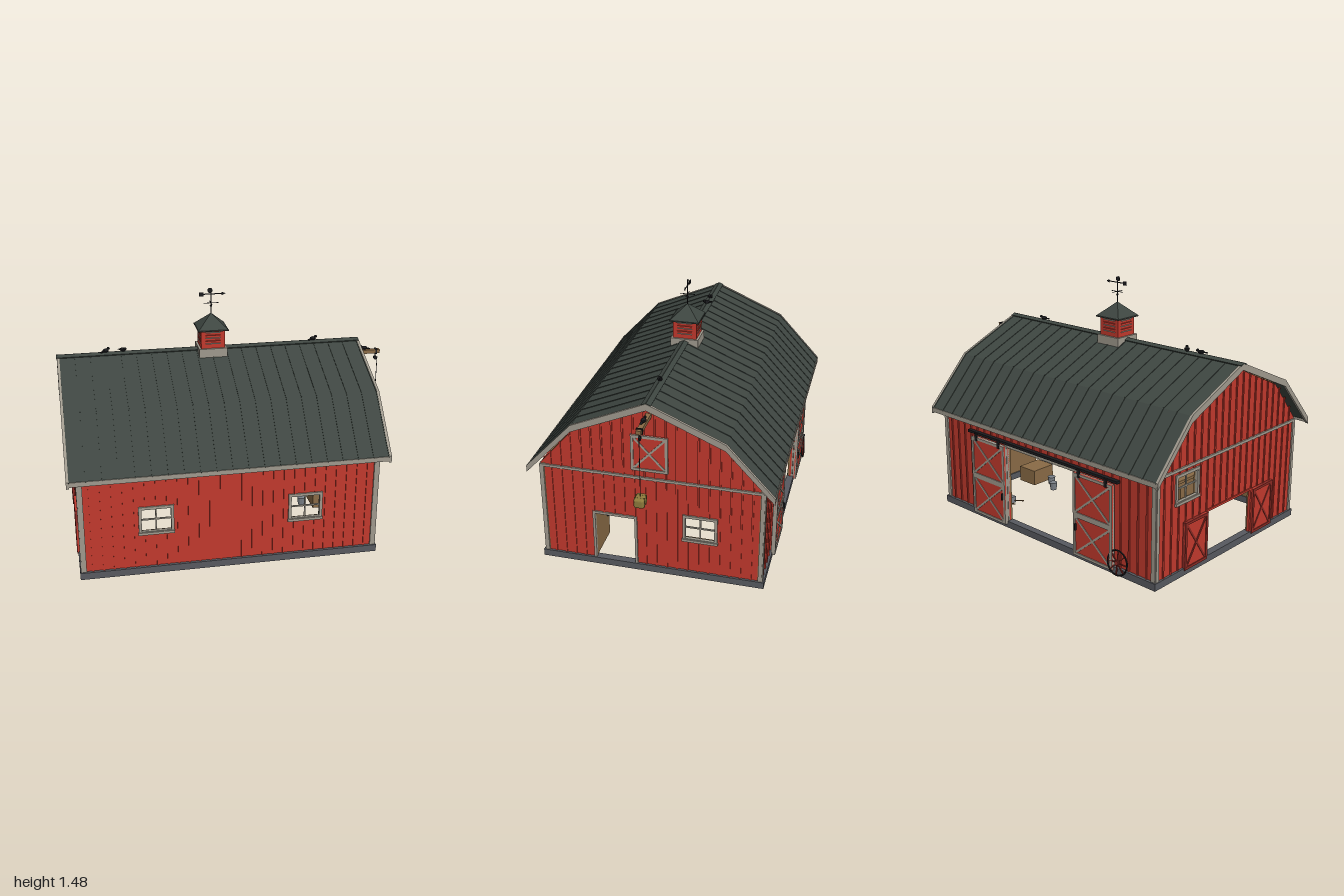
import * as THREE from 'three';
import { RoundedBoxGeometry } from 'three/addons/geometries/RoundedBoxGeometry.js';

const mat = color => new THREE.MeshStandardMaterial({ color, flatShading: true });
const red = mat(0xc2392d), darkRed = mat(0x8a2a24), trim = mat(0xa09a8e), roofMat = mat(0x3e4641);
const stone = mat(0x585a60), wood = mat(0x8a6b46), black = mat(0x1b1b1e), hay = mat(0x8d7a3c), steel = mat(0x7d838a);
const V = (x, y, z) => new THREE.Vector3(x, y, z);
const CX = -0.085, HX = 0.855, HZ = 0.64; // wall centre and half sizes

function add(parent, name, geo, material, x = 0, y = 0, z = 0) {
  const m = new THREE.Mesh(geo, material);
  m.name = name;
  m.position.set(x, y, z);
  parent.add(m);
  return m;
}
// Box given by its limits
const box = (p, name, x0, x1, y0, y1, z0, z1, material) => add(p, name,
  new THREE.BoxGeometry(x1 - x0, y1 - y0, z1 - z0), material, (x0 + x1) / 2, (y0 + y1) / 2, (z0 + z1) / 2);
// Bar from a to b: w is its level width, t its other thickness
function bar(p, name, a, b, w, t, material) {
  const m = new THREE.Mesh(new THREE.BoxGeometry(w, t, a.distanceTo(b)), material);
  m.name = name;
  m.position.copy(a).lerp(b, 0.5);
  m.lookAt(b);
  p.add(m);
}
function group(parent, name, x = 0, y = 0, z = 0) {
  const g = new THREE.Group();
  g.name = name;
  g.position.set(x, y, z);
  parent.add(g);
  return g;
}
// Rectangular frame on a wall, flush on w = 0
function frame(p, name, [u0, u1, y0, y1], s, d, material, bottom = true) {
  box(p, name, u0, u0 + s, y0, y1, -0.01, d, material);
  box(p, name, u1 - s, u1, y0, y1, -0.01, d, material);
  box(p, name, u0 + s, u1 - s, y1 - s, y1, -0.01, d, material);
  if (bottom) box(p, name, u0 + s, u1 - s, y0, y0 + s, -0.01, d, material);
}
function windowUnit(p, u, y) {
  const g = group(p, 'window', u, y);
  frame(g, 'windowFrame', [-0.1, 0.1, 0, 0.17], 0.017, 0.009, trim);
  box(g, 'windowSill', -0.103, 0.103, -0.004, 0.012, -0.01, 0.014, trim);
  box(g, 'mullion', -0.004, 0.004, 0.015, 0.155, -0.012, -0.004, trim);
  box(g, 'mullion', -0.085, 0.085, 0.081, 0.089, -0.012, -0.004, trim);
}
// Plank door with framed cross braces, in one or two panels
function braceDoor(p, name, u0, u1, y0, y1, panels, w, braceMat) {
  const g = group(p, name, 0, 0, w), s = 0.016, h = (y1 - y0) / panels;
  box(g, 'doorPanel', u0, u1, y0, y1, 0, 0.01, red);
  for (let i = 0; i < panels; i++) {
    const a = y0 + i * h, b = a + h;
    frame(g, 'doorFrame', [u0, u1, a, b], s, 0.015, braceMat);
    bar(g, 'doorBrace', V(u0 + s, a + s, 0.01), V(u1 - s, b - s, 0.01), 0.008, 0.012, braceMat);
    bar(g, 'doorBrace', V(u0 + s, b - s, 0.009), V(u1 - s, a + s, 0.009), 0.008, 0.012, braceMat);
  }
  return g;
}
// Wall in local coordinates: u across, y up, w outward
function wall(parent, name, x, z, turn, half, gable, holes) {
  const g = group(parent, name, x, 0, z);
  g.rotation.y = turn;
  const top = gable ? [[half, 0.64], [0.42, 0.895], [0, 1.085], [-0.42, 0.895], [-half, 0.64]] : [[half, 0.64], [-half, 0.64]];
  const shape = new THREE.Shape([[-half, 0.03], [half, 0.03], ...top].map(q => new THREE.Vector2(...q)));
  for (const [a, b, c, d] of holes)
    shape.holes.push(new THREE.Path([[a, c], [a, d], [b, d], [b, c]].map(q => new THREE.Vector2(...q))));
  const skin = depth => new THREE.ExtrudeGeometry(shape, { depth, bevelEnabled: false });
  add(g, 'wallSiding', skin(0.01), red, 0, 0, -0.01);
  add(g, 'wallLining', skin(0.012), wood, 0, 0, -0.022);
  // Battens, cut at the openings
  const n = Math.round(2 * half / 0.061);
  for (let i = 1; i < n; i++) {
    const u = -half + 2 * half * i / n, a = Math.abs(u);
    const end = !gable ? 0.64 : a > 0.42 ? 0.64 + (half - a) * 1.17 + 0.012 : 0.895 + (0.42 - a) * 0.452;
    let y = 0.04;
    for (const h of holes.filter(h => u > h[0] - 0.006 && u < h[1] + 0.006)) {
      if (h[2] > y + 0.01) box(g, 'batten', u - 0.005, u + 0.005, y, h[2], -0.002, 0.006, red);
      y = h[3];
    }
    box(g, 'batten', u - 0.005, u + 0.005, y, end, -0.002, 0.006, red);
  }
  const inner = half - (gable ? 0.018 : 0.024);
  for (const s of [-1, 1]) box(g, 'cornerBoard', s > 0 ? inner : -half - 0.004, s > 0 ? half + 0.004 : -inner, 0.04, 0.63, -0.005, 0.009, trim);
  if (gable) box(g, 'beltBoard', -half, half, 0.618, 0.634, -0.005, 0.01, trim);
  return g;
}
// Gambrel band: the roof line with a vertical thickness, run along x
const LINE = [[-0.705, 0.632], [-0.432, 0.925], [0, 1.112], [0.432, 0.925], [0.705, 0.632]];
function gambrel(p, name, x0, x1, up, down, material, line = LINE) {
  const pts = [...line.map(([z, y]) => [-z, y + up]), ...line.map(([z, y]) => [-z, y - down]).reverse()];
  const geo = new THREE.ExtrudeGeometry(new THREE.Shape(pts.map(q => new THREE.Vector2(...q))), { depth: x1 - x0, bevelEnabled: false });
  add(p, name, geo.rotateY(Math.PI / 2), material, x0, 0, 0);
}
function bird(p, x, y, turn) {
  const g = group(p, 'bird', x, y, 0);
  g.rotation.y = turn;
  add(g, 'birdBody', new THREE.SphereGeometry(0.013, 8, 6).scale(1.6, 0.9, 1.2), black, 0, 0.012, 0);
  add(g, 'birdHead', new THREE.SphereGeometry(0.009, 8, 6), black, 0.02, 0.021, 0);
  bar(g, 'birdTail', V(-0.012, 0.011, 0), V(-0.036, 0.007, 0), 0.014, 0.004, black);
}

export function createModel() {
  const barn = new THREE.Group();
  barn.name = 'barn';

  // Foundation ring
  for (const s of [-1, 1]) {
    box(barn, 'foundation', CX - 0.868, CX + 0.868, 0, 0.042, s * 0.635 - 0.022, s * 0.635 + 0.022, stone);
    box(barn, 'foundation', CX + s * 0.846 - 0.022, CX + s * 0.846 + 0.022, 0, 0.042, -0.613, 0.613, stone);
  }

  // Walls
  const win = (u, y) => [u - 0.086, u + 0.086, y + 0.012, y + 0.158];
  const front = wall(barn, 'frontWall', CX, HZ, 0, HX, false, [win(-0.43, 0.25), win(0.43, 0.25)]);
  for (const s of [-1, 1]) windowUnit(front, s * 0.43, 0.25);

  const back = wall(barn, 'backWall', CX, -HZ, Math.PI, HX, false, [[-0.285, 0.285, 0.04, 0.51]]);
  frame(back, 'barnDoorFrame', [-0.3, 0.3, 0.04, 0.525], 0.015, 0.008, trim, false);
  box(back, 'doorTrack', -0.61, 0.61, 0.537, 0.552, 0.005, 0.03, black);
  for (const s of [-1, 1]) {
    const c = s * 0.43;
    const d = braceDoor(back, 'slidingDoor', c - 0.145, c + 0.145, 0.025, 0.52, 2, 0.02, trim);
    box(d, 'doorHandle', s * 0.305 - 0.004, s * 0.305 + 0.004, 0.18, 0.22, 0.012, 0.024, black);
    for (const k of [-0.1, 0.1]) box(d, 'doorHanger', c + k - 0.008, c + k + 0.008, 0.5, 0.55, 0.008, 0.018, black);
  }

  const right = wall(barn, 'rightGable', CX + HX, 0, Math.PI / 2, HZ, true, [[-0.33, -0.092, 0.04, 0.35], win(0.285, 0.25)]);
  frame(right, 'doorFrame', [-0.343, -0.08, 0.04, 0.362], 0.015, 0.009, trim, false);
  windowUnit(right, 0.285, 0.25);
  braceDoor(right, 'hayDoor', -0.105, 0.105, 0.675, 0.898, 1, -0.002, trim);
  box(right, 'openDoor', -0.34, -0.33, 0.045, 0.345, -0.24, -0.02, wood);
  box(right, 'latch', -0.33, -0.318, 0.19, 0.23, -0.22, -0.2, black);

  const left = wall(barn, 'leftGable', CX - HX, 0, -Math.PI / 2, HZ, true, [[-0.21, 0.21, 0.04, 0.305], win(-0.39, 0.43)]);
  windowUnit(left, -0.39, 0.43);
  frame(left, 'swingDoorFrame', [-0.215, 0.215, 0.04, 0.317], 0.012, 0.008, red, false);
  for (const s of [-1, 1]) braceDoor(left, 'swingDoor', s * 0.315 - 0.1, s * 0.315 + 0.1, 0.03, 0.31, 1, 0.005, darkRed);

  // Roof, inner lining, barge boards, fascia and ridge cap
  const roof = group(barn, 'roof');
  gambrel(roof, 'roofPanels', -0.993, 0.817, 0, 0.02, roofMat);
  gambrel(roof, 'roofLining', CX - HX + 0.03, CX + HX - 0.03, -0.022, 0.028, wood, LINE.map(([z, y]) => Math.abs(z) > 0.5 ? [z * 0.87, 0.731] : [z, y]));
  for (const x of [-1, 0.81]) gambrel(roof, 'bargeBoard', x, x + 0.015, 0.006, 0.034, trim);
  for (const s of [-1, 1]) {
    box(roof, 'fascia', -0.997, 0.822, 0.608, 0.636, s * 0.7 - 0.006, s * 0.7 + 0.006, trim);
    bar(roof, 'ridgeCap', V(-0.09, 1.118, 0), V(-0.09, 1.107, s * 0.026), 1.826, 0.006, roofMat);
    for (let i = 0; i <= 20; i++) {
      const x = -0.985 + i * 0.0897, [a, b, c] = LINE.map(([z, y]) => V(x, y, z * s));
      bar(roof, 'roofSeam', a, b, 0.004, 0.007, roofMat);
      bar(roof, 'roofSeam', b, c, 0.004, 0.007, roofMat);
    }
    // Rafters under the roof
    for (let i = 0; i < 9; i++) {
      const x = -0.88 + i * 0.198, [, b, c] = LINE.map(([z, y]) => V(x, y - 0.05, z * s * 0.96));
      bar(roof, 'rafter', V(x, 0.67, -s * 0.605), b, 0.018, 0.03, wood);
      bar(roof, 'rafter', b, c, 0.018, 0.03, wood);
    }
  }

  // Cupola with louvres and weather vane
  const cup = group(barn, 'cupola', CX - 0.003, 0, 0);
  box(cup, 'cupolaBase', -0.084, 0.084, 1.075, 1.128, -0.084, 0.084, trim);
  box(cup, 'cupolaBody', -0.066, 0.066, 1.12, 1.245, -0.066, 0.066, red);
  for (let k = 0; k < 4; k++) {
    const side = group(cup, 'louvres');
    side.rotation.y = k * Math.PI / 2;
    frame(side, 'louvreFrame', [-0.071, 0.071, 1.128, 1.242], 0.018, 0.071, red);
    for (let i = 0; i < 5; i++) bar(side, 'louvre', V(0, 1.155 + i * 0.017, 0.073), V(0, 1.162 + i * 0.017, 0.062), 0.09, 0.005, i % 2 ? red : trim);
  }
  add(cup, 'cupolaRoof', new THREE.ConeGeometry(0.09 * Math.SQRT2, 0.085, 4).rotateY(Math.PI / 4), roofMat, 0, 1.282, 0);
  box(cup, 'cupolaEave', -0.09, 0.09, 1.235, 1.242, -0.09, 0.09, roofMat);
  const vane = group(cup, 'weatherVane');
  add(vane, 'vaneRod', new THREE.CylinderGeometry(0.003, 0.003, 0.16, 6), black, 0, 1.39, 0);
  add(vane, 'vaneBall', new THREE.SphereGeometry(0.007, 8, 6), black, 0, 1.367, 0);
  box(vane, 'compassArm', -0.045, 0.045, 1.383, 1.386, -0.0015, 0.0015, black);
  box(vane, 'compassArm', -0.0015, 0.0015, 1.383, 1.386, -0.045, 0.045, black);
  box(vane, 'vaneArm', -0.065, 0.07, 1.436, 1.441, -0.002, 0.002, black);
  box(vane, 'vaneTail', -0.07, -0.045, 1.427, 1.45, -0.002, 0.002, black);
  add(vane, 'vanePoint', new THREE.ConeGeometry(0.012, 0.025, 6).rotateZ(-Math.PI / 2).scale(1, 1, 0.2), black, 0.075, 1.4385, 0);
  add(vane, 'vaneFigure', new THREE.CylinderGeometry(0.015, 0.015, 0.004, 12).rotateX(Math.PI / 2), black, -0.005, 1.46, 0);

  // Hay hoist
  const hoist = group(barn, 'hayHoist');
  box(hoist, 'hoistBeam', 0.72, 0.968, 1.012, 1.035, -0.014, 0.014, wood);
  box(hoist, 'beamStrap', 0.94, 0.95, 1.008, 1.039, -0.018, 0.018, black);
  add(hoist, 'pulley', new THREE.CylinderGeometry(0.012, 0.012, 0.012, 12).rotateX(Math.PI / 2), black, 0.945, 0.98, 0);
  box(hoist, 'pulleyHook', 0.943, 0.947, 0.98, 1.015, -0.004, 0.004, black);
  box(hoist, 'rope', 0.956, 0.959, 0.63, 0.985, -0.0015, 0.0015, black);
  add(hoist, 'hayBale', new RoundedBoxGeometry(0.078, 0.055, 0.058, 2, 0.012), hay, 0.96, 0.604, 0);
  for (const x of [0.943, 0.973]) box(hoist, 'baleTwine', x, x + 0.003, 0.576, 0.632, -0.0295, 0.0295, hay);

  // Birds
  bird(barn, -0.715, 1.117, 0.6);
  bird(barn, -0.615, 1.117, -0.9);
  bird(barn, 0.54, 1.117, 0.4);
  bird(barn, 0.87, 1.035, 3);

  // Wagon wheel leaning on the back wall
  const wheel = group(barn, 'wagonWheel', -0.7, 0.085, -0.672);
  wheel.rotation.x = 0.12;
  add(wheel, 'wheelRim', new THREE.TorusGeometry(0.07, 0.005, 6, 24), black);
  add(wheel, 'wheelHub', new THREE.CylinderGeometry(0.013, 0.013, 0.018, 10).rotateX(Math.PI / 2), darkRed);
  for (let i = 0; i < 4; i++) add(wheel, 'wheelSpoke', new THREE.BoxGeometry(0.14, 0.006, 0.006), darkRed).rotation.z = i * Math.PI / 4;

  // Loft with joists, posts and railing
  const loft = group(barn, 'loft');
  box(loft, 'loftFloor', -0.915, -0.1, 0.525, 0.54, -0.615, 0.38, wood);
  for (let i = 0; i < 9; i++) box(loft, 'joist', -0.9 + i * 0.098, -0.88 + i * 0.098, 0.49, 0.525, -0.615, 0.38, wood);
  for (const z of [-0.58, -0.27, 0.05, 0.36]) box(loft, 'railPost', -0.12, -0.1, 0.54, 0.68, z - 0.01, z + 0.01, wood);
  for (const y of [0.6, 0.67]) box(loft, 'rail', -0.116, -0.104, y, y + 0.014, -0.59, 0.37, wood);
  box(loft, 'loftPost', -0.12, -0.095, 0, 0.49, 0.35, 0.375, wood);

  // Stairs along the front wall
  const stairs = group(barn, 'stairs');
  for (let i = 0; i < 10; i++) {
    const x = 0.02 - i * 0.06, y = 0.045 + i * 0.05;
    box(stairs, 'stairTread', x, x + 0.07, y, y + 0.01, 0.41, 0.56, wood);
    box(stairs, 'stairRiser', x + 0.058, x + 0.066, y - 0.045, y, 0.41, 0.56, wood);
  }
  for (const z of [0.405, 0.565]) bar(stairs, 'stairStringer', V(0.1, 0.02, z), V(-0.54, 0.53, z), 0.01, 0.04, wood);
  box(barn, 'stallPartition', -0.36, -0.345, 0, 0.28, 0.3, 0.61, wood);

  // Feed bin, sacks, buckets and barrow
  box(barn, 'feedBin', 0.56, 0.7, 0, 0.1, -0.1, 0.07, wood);
  for (const [x, z] of [[-0.86, -0.53], [-0.78, -0.54], [-0.86, -0.44]])
    add(barn, 'feedSack', new THREE.SphereGeometry(0.042, 10, 8).scale(1, 1.2, 1), wood, x, 0.05, z);
  for (const [x, z] of [[0.5, 0], [0.42, -0.06]]) add(barn, 'bucket', new THREE.CylinderGeometry(0.026, 0.02, 0.05, 12), steel, x, 0.025, z);
  const barrow = group(barn, 'wheelbarrow', 0.42, 0, -0.48);
  box(barrow, 'barrowTray', -0.06, 0.06, 0.05, 0.09, -0.035, 0.035, steel);
  add(barrow, 'barrowWheel', new THREE.CylinderGeometry(0.028, 0.028, 0.012, 12).rotateX(Math.PI / 2), black, 0.075, 0.028, 0);
  for (const s of [-1, 1]) bar(barrow, 'barrowHandle', V(0.075, 0.03, s * 0.012), V(-0.13, 0.08, s * 0.035), 0.006, 0.006, wood);
  return barn;
}
